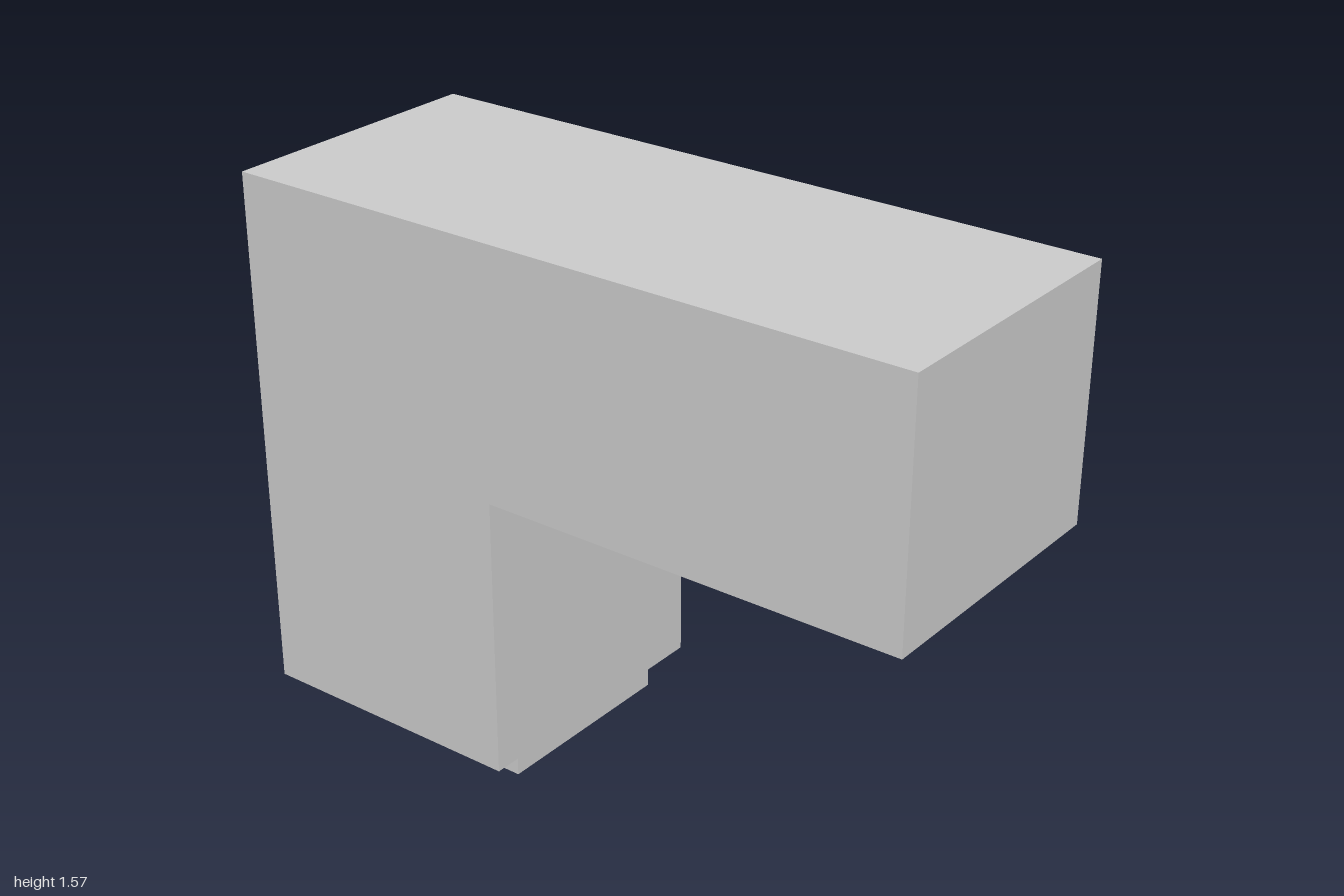
import * as THREE from 'three';

export function createModel() {
  const group = new THREE.Group();
  const material = new THREE.MeshStandardMaterial({ color: 0xcccccc, flatShading: true });
  const width = 0.795;

  // L-shaped body: side profile as (z, y), extruded across x
  const profile = new THREE.Shape([
    [-1, 0.083], [-0.203, 0.083], [-0.203, 0.877], [1, 0.877], [1, 1.57], [-1, 1.57],
  ].map(([z, y]) => new THREE.Vector2(z, y)));
  const bodyGeometry = new THREE.ExtrudeGeometry(profile, { depth: width, bevelEnabled: false });
  bodyGeometry.translate(0, 0, -width / 2).rotateY(-Math.PI / 2);
  const body = new THREE.Mesh(bodyGeometry, material);
  body.name = 'body';

  // Inset foot plate under the upright
  const foot = new THREE.Mesh(new THREE.BoxGeometry(0.57, 0.083, 0.734), material);
  foot.position.set(0, 0.0415, -0.602);
  foot.name = 'footPlate';

  group.add(body, foot);
  return group;
}
